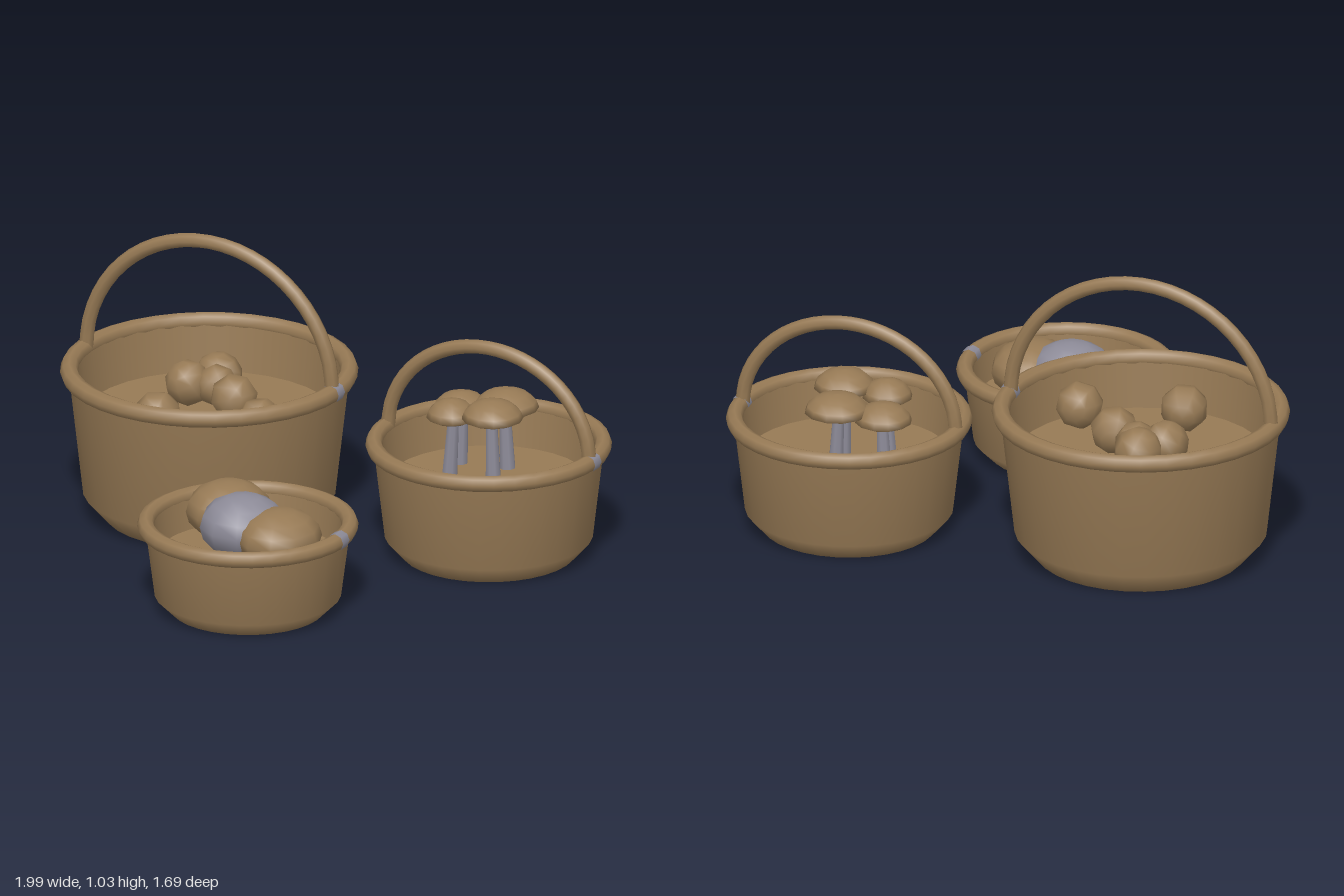
import * as THREE from 'three';

const wicker = new THREE.MeshStandardMaterial({ color: 0x977a55 });
wicker.name = 'wicker brown';
const grey = new THREE.MeshStandardMaterial({ color: 0x8d8b98 });
grey.name = 'pale grey';

function add(parent, name, geometry, material, x = 0, y = 0, z = 0) {
  const mesh = new THREE.Mesh(geometry, material);
  mesh.name = name;
  mesh.position.set(x, y, z);
  parent.add(mesh);
  return mesh;
}

const lathe = (points, segments) =>
  new THREE.LatheGeometry(points.map(([x, y]) => new THREE.Vector2(x, y)), segments);

// Tapered bowl, rolled rim with a small pale joint, and optional arched handle
function basket(name, { x, z, foot, belly, bellyY, top, rimY, tube, floorY, handleRise }) {
  const group = new THREE.Group();
  group.name = name;
  group.position.set(x, 0, z);

  add(group, 'outerWall', lathe([[0, 0], [foot, 0], [belly, bellyY], [top, rimY]], 32), wicker);
  const wall = 0.03;
  const t = (floorY - bellyY) / (rimY - bellyY);
  const floorR = belly + (top - belly) * t - wall;
  add(group, 'innerWall', lathe([[top - wall, rimY], [floorR, floorY]], 32), wicker);
  add(group, 'floor', lathe([[floorR, floorY], [0, floorY]], 32), wicker);

  const rimR = top - 0.003;
  add(group, 'rim', new THREE.TorusGeometry(rimR, tube, 8, 36), wicker, 0, rimY, 0).rotation.x = Math.PI / 2;
  const arc = 0.045 / rimR;
  const joint = add(group, 'rimJoint', new THREE.TorusGeometry(rimR, tube + 0.002, 8, 1, arc), grey, 0, rimY, 0);
  joint.rotation.set(Math.PI / 2, 0, -arc / 2);

  if (handleRise) {
    const span = top - 0.008;
    const points = [];
    for (let i = 0; i <= 16; i++) {
      const a = Math.PI * i / 16;
      points.push(new THREE.Vector3(Math.cos(a) * span, rimY + Math.sin(a) * handleRise, 0));
    }
    add(group, 'handle', new THREE.TubeGeometry(new THREE.CatmullRomCurve3(points), 28, 0.026, 8), wicker);
  }
  return group;
}

// Domed cap on a slightly leaning stem
function mushroom(x, z, r, topY, floorY, lean) {
  const group = new THREE.Group();
  group.name = 'mushroom';
  const h = 0.078;
  const rimY = topY - h;
  add(group, 'cap', lathe([[0, 0.015], [r * 0.75, 0], [r, 0.012], [r * 0.92, 0.036],
    [r * 0.65, 0.062], [r * 0.3, 0.075], [0, h]], 12), wicker, x, rimY, z);
  const length = rimY + 0.015 - floorY;
  const stem = add(group, 'stem', new THREE.CylinderGeometry(0.02, 0.028, length, 8), grey,
    x, floorY + length / 2, z);
  stem.rotation.z = lean;
  return group;
}

export function createModel() {
  const model = new THREE.Group();
  model.name = 'baskets';

  model.add(
    basket('largeBasket', { x: -0.478, z: -0.31, foot: 0.365, belly: 0.44, bellyY: 0.085,
      top: 0.49, rimY: 0.53, tube: 0.032, floorY: 0.36, handleRise: 0.475 }),
    basket('mediumBasket', { x: 0.56, z: -0.42, foot: 0.305, belly: 0.363, bellyY: 0.065,
      top: 0.402, rimY: 0.4, tube: 0.03, floorY: 0.26, handleRise: 0.355 }),
    basket('smallBasket', { x: 0.075, z: 0.46, foot: 0.27, belly: 0.325, bellyY: 0.055,
      top: 0.358, rimY: 0.31, tube: 0.03, floorY: 0.2 }));

  // Round tubers in the large basket
  const tubers = [[-0.525, -0.47, 0.088], [-0.59, -0.365, 0.082], [-0.49, -0.39, 0.075],
    [-0.38, -0.31, 0.085], [-0.54, -0.04, 0.085], [-0.19, -0.14, 0.085]];
  tubers.forEach(([x, z, r], i) => {
    const tuber = add(model, 'tuber', new THREE.SphereGeometry(r, 8, 6), wicker, x, 0.445, z);
    tuber.rotation.set(0.4 * i, 0.9 * i, 0.3);
  });

  // Mushrooms in the medium basket
  const mushrooms = [[0.39, -0.54, 0.1, 0.525, -0.05], [0.55, -0.57, 0.115, 0.55, 0.05],
    [0.585, -0.4, 0.108, 0.572, 0.03], [0.43, -0.39, 0.088, 0.553, -0.07]];
  for (const [x, z, r, topY, lean] of mushrooms) model.add(mushroom(x, z, r, topY, 0.26, lean));

  // Flattened loaves in the small basket
  const loaves = [['rightLoaf', 0.205, 0.29, 0.475, 0.148, 0.1, 0.16, wicker],
    ['leftLoaf', -0.07, 0.295, 0.325, 0.15, 0.105, 0.155, wicker],
    ['paleLoaf', 0.055, 0.3, 0.455, 0.155, 0.115, 0.15, grey]];
  for (const [name, x, y, z, sx, sy, sz, material] of loaves) {
    add(model, name, new THREE.SphereGeometry(1, 10, 8), material, x, y, z).scale.set(sx, sy, sz);
  }
  return model;
}
